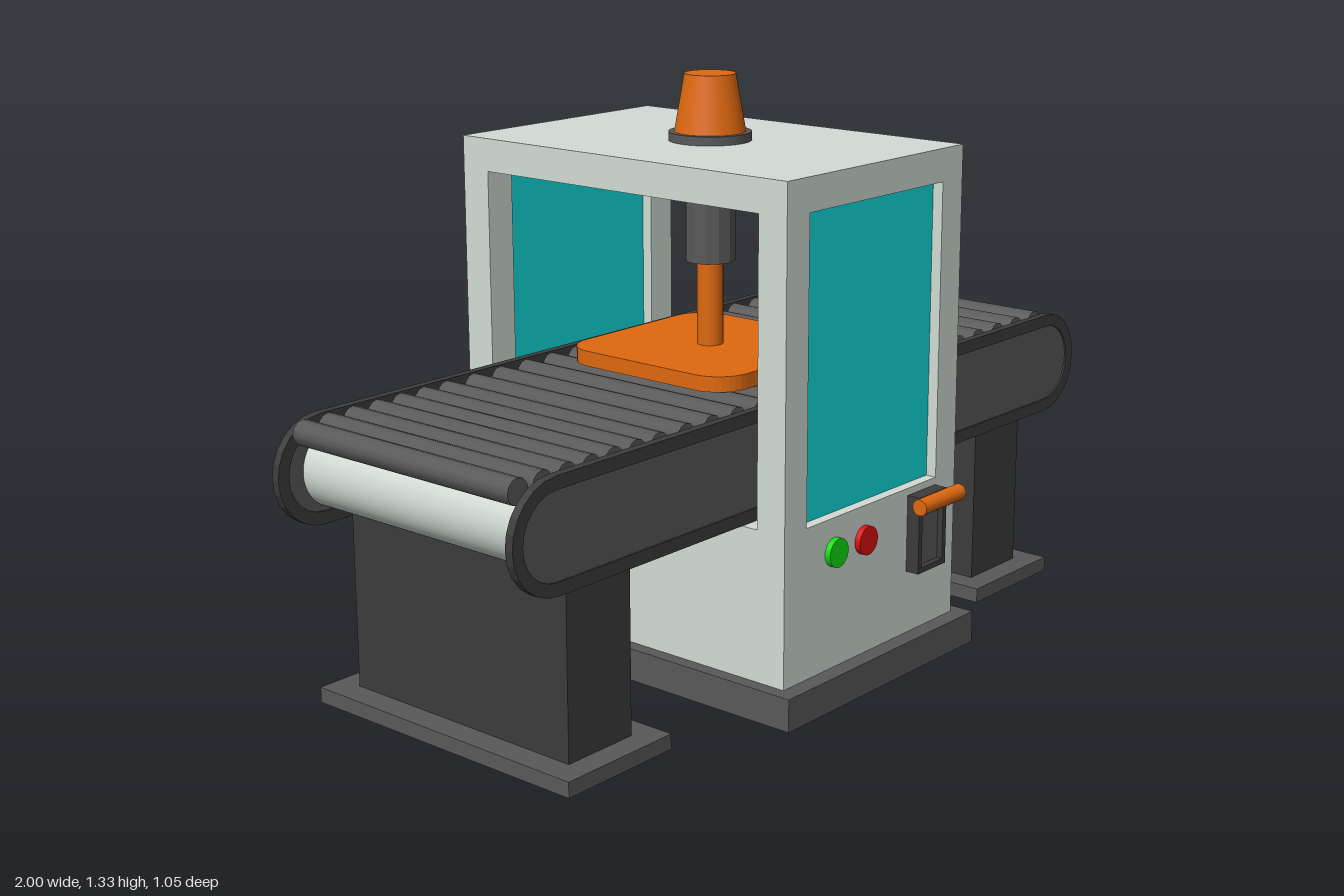
import * as THREE from 'three';

const paint = (color) => new THREE.MeshStandardMaterial({ color });
const pale = paint(0xd2dcd5);
const dark = paint(0x3c3c3c);
const mid = paint(0x595959);
const orange = paint(0xe0690f);
const cyan = paint(0x10dede);
const green = paint(0x11dd11);
const red = paint(0xdd1111);
const ZC = -0.015; // depth centre of the machine

export function createModel() {
  const model = new THREE.Group();
  model.name = 'conveyorPressMachine';

  function add(name, geometry, material, x = 0, y = 0, z = 0) {
    const mesh = new THREE.Mesh(geometry, material);
    mesh.name = name;
    mesh.position.set(x, y, z);
    model.add(mesh);
    return mesh;
  }
  // Box given by its limits on each axis
  const box = (name, material, x0, x1, y0, y1, z0, z1) =>
    add(name, new THREE.BoxGeometry(x1 - x0, y1 - y0, z1 - z0), material,
      (x0 + x1) / 2, (y0 + y1) / 2, (z0 + z1) / 2);

  // Lying capsule outline
  function capsule(half, r, Type = THREE.Shape) {
    const s = new Type();
    s.absarc(half, 0, r, -Math.PI / 2, Math.PI / 2, false);
    s.absarc(-half, 0, r, Math.PI / 2, Math.PI * 1.5, false);
    s.closePath();
    return s;
  }
  const extrude = (shape, depth, curveSegments = 6) =>
    new THREE.ExtrudeGeometry(shape, { depth, curveSegments, bevelEnabled: false });

  // Housing: plinth, lower body, corner posts and roof
  box('plinth', mid, -0.345, 0.345, 0, 0.075, -0.525, 0.495);
  box('lowerHousing', pale, -0.313, 0.313, 0.075, 0.42, -0.485, 0.455);
  box('roof', pale, -0.313, 0.313, 1.1, 1.175, -0.485, 0.455);
  for (const [z0, z1] of [[0.38, 0.455], [-0.485, -0.408]]) {
    box('cornerPost', pale, -0.313, -0.238, 0.42, 1.1, z0, z1);
    box('cornerPost', pale, 0.238, 0.313, 0.42, 1.1, z0, z1);
    const mz = (z0 + z1) / 2;
    box('window', cyan, -0.238, 0.238, 0.42, 1.1, mz - 0.012, mz + 0.012);
  }

  // Warning beacon
  add('beaconBase', new THREE.CylinderGeometry(0.094, 0.094, 0.02, 32), mid, 0, 1.185, ZC);
  add('beacon', new THREE.CylinderGeometry(0.058, 0.081, 0.13, 32), orange, 0, 1.26, ZC);

  // Press: ram housing, rod and rounded plate
  const ram = add('ramHousing', new THREE.CylinderGeometry(0.058, 0.058, 0.2, 12), mid, 0, 1.0, ZC);
  ram.material = mid.clone();
  ram.material.flatShading = true;
  add('ramRod', new THREE.CylinderGeometry(0.03, 0.03, 0.2, 16), orange, 0, 0.805, ZC);
  const h = 0.24, c = 0.08;
  const plate = new THREE.Shape();
  plate.absarc(h - c, h - c, c, 0, Math.PI / 2, false);
  plate.absarc(c - h, h - c, c, Math.PI / 2, Math.PI, false);
  plate.absarc(c - h, c - h, c, Math.PI, Math.PI * 1.5, false);
  plate.absarc(h - c, c - h, c, Math.PI * 1.5, Math.PI * 2, false);
  add('pressPlate', extrude(plate, 0.035, 4), orange, 0, 0.67, ZC).rotation.x = -Math.PI / 2;

  // Conveyor: side frames with inset panels and a round-ended bed
  for (const z of [0.322, -0.365]) {
    const rim = capsule(0.876, 0.123);
    rim.holes.push(capsule(0.876, 0.094, THREE.Path));
    add('conveyorSideRim', extrude(rim, 0.02), dark, 0, 0.544, z);
    add('conveyorSidePanel', extrude(capsule(0.876, 0.095), 0.012), mid, 0, 0.544, z + 0.004);
  }
  add('conveyorBed', extrude(capsule(0.838, 0.091), 0.68, 20), pale, 0, 0.544, -0.355);

  // Rollers, set closer together at the right end
  const rollerGeometry = new THREE.CylinderGeometry(0.0285, 0.0285, 0.63, 12);
  for (let x = 0.88; x > -0.94; x -= x > -0.5 ? 0.083 : 0.068) {
    add('roller', rollerGeometry, mid, x, 0.641, ZC).rotation.x = Math.PI / 2;
  }

  // Conveyor legs and feet
  for (const s of [-1, 1]) {
    const x = s * 0.722;
    box('leg', dark, x - 0.094, x + 0.094, 0.035, 0.47, -0.33, 0.303);
    box('foot', mid, x - 0.154, x + 0.154, 0, 0.035, -0.39, 0.36);
  }

  // Push buttons
  for (const [name, material, x] of [['startButton', green, -0.14], ['stopButton', red, -0.033]]) {
    add(name, new THREE.CylinderGeometry(0.033, 0.033, 0.014, 24), material, x, 0.342, 0.462)
      .rotation.x = Math.PI / 2;
  }

  // Lever: pocketed bracket with a crossbar handle
  const bracket = new THREE.Shape();
  bracket.moveTo(-0.053, -0.09).lineTo(0.053, -0.09).lineTo(0.053, 0.09).lineTo(-0.053, 0.09).closePath();
  const pocket = new THREE.Path();
  pocket.moveTo(-0.04, -0.077).lineTo(-0.04, 0.077).lineTo(0.04, 0.077).lineTo(0.04, -0.077).closePath();
  bracket.holes.push(pocket);
  add('leverBracket', extrude(bracket, 0.034), dark, 0.183, 0.313, 0.454);
  box('leverPocket', mid, 0.142, 0.224, 0.235, 0.391, 0.454, 0.474);
  add('leverHandle', new THREE.CylinderGeometry(0.019, 0.019, 0.155, 16), orange, 0.179, 0.392, 0.508)
    .rotation.z = Math.PI / 2;

  return model;
}
